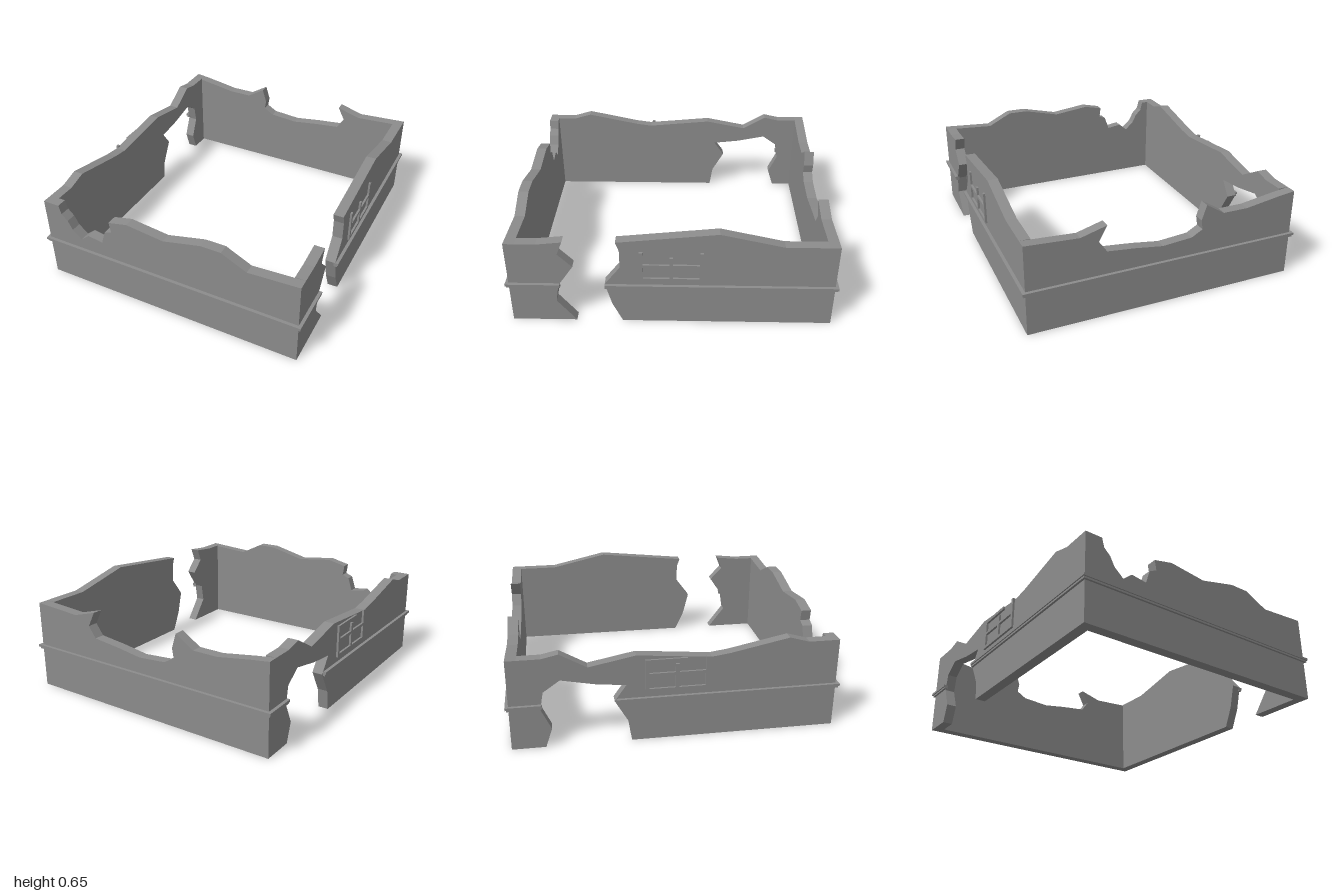
import * as THREE from 'three';

const X = 0.865, Z = 0.98, T = 0.065; // outer wall faces and wall thickness

export function createModel() {
  const model = new THREE.Group();
  model.name = 'ruinedWalls';
  const stone = new THREE.MeshStandardMaterial({ color: 0x8c8c8c });
  stone.name = 'grey stone';

  const add = (name, geometry, parent = model) => {
    const mesh = new THREE.Mesh(geometry, stone);
    mesh.name = name;
    parent.add(mesh);
    return mesh;
  };
  // box given by its lower and upper corners
  const block = (name, a, b, parent) => {
    const size = b.map((v, i) => v - a[i]);
    const g = new THREE.BoxGeometry(...size);
    g.translate(...a.map((v, i) => v + size[i] / 2));
    return add(name, g, parent);
  };
  // slab of wall cut to a broken outline
  const slab = (points) => new THREE.ExtrudeGeometry(
    new THREE.Shape(points.map(p => new THREE.Vector2(...p))), { depth: T, bevelEnabled: false });
  const crossWall = (name, points, z) => add(name, slab(points).translate(0, 0, z));
  const sideWall = (name, points, x) => add(name, slab(points).rotateY(-Math.PI / 2).translate(x, 0, 0));

  // front wall, with a bite out of its right end
  crossWall('frontWall', [
    [-X, 0], [X, 0], [X, 0.57], [0.54, 0.55], [0.38, 0.63], [0.25, 0.63], [0, 0.57], [-0.25, 0.6],
    [-0.38, 0.57], [-0.37, 0.5], [-0.42, 0.48], [-0.45, 0.39], [-0.55, 0.405], [-0.61, 0.355],
    [-0.67, 0.41], [-0.7, 0.47], [-0.74, 0.51], [-0.755, 0.57], [-X, 0.57],
  ], Z - T);

  // back wall, broken between two spikes
  crossWall('backWall', [
    [-X, 0], [X, 0], [X, 0.57], [0.54, 0.55], [0.38, 0.595], [0.43, 0.5], [0.38, 0.43], [0.2, 0.41],
    [0.03, 0.385], [-0.16, 0.4], [-0.23, 0.44], [-0.22, 0.5], [-0.25, 0.595],
    [-0.37, 0.52], [-0.53, 0.52], [-0.75, 0.555], [-X, 0.57],
  ], -Z);

  // left wall, split in two by a collapsed gap
  const e = Z - T;
  sideWall('leftWallFront', [
    [0.585, 0], [e, 0], [e, 0.57], [0.79, 0.57], [0.635, 0.587],
    [0.67, 0.5], [0.585, 0.41], [0.68, 0.27], [0.7, 0.15],
  ], X);
  sideWall('leftWallBack', [
    [-e, 0], [0.3, 0], [0.36, 0.13], [0.4, 0.285], [0.305, 0.41], [0.305, 0.53], [0.325, 0.59],
    [-0.28, 0.655], [-0.66, 0.57], [-e, 0.57],
  ], X);

  // right wall, with a ragged opening below a bridge of masonry
  sideWall('rightWall', [
    [-e, 0], [-0.78, 0], [-0.74, 0.12], [-0.8, 0.25], [-0.78, 0.36], [-0.68, 0.43], [-0.48, 0.39],
    [-0.3, 0.37], [-0.37, 0.27], [-0.29, 0.13], [-0.27, 0],
    [e, 0], [e, 0.57], [0.79, 0.57], [0.67, 0.605], [0.31, 0.53], [0.2, 0.515], [-0.24, 0.555],
    [-0.52, 0.5], [-0.68, 0.592], [-0.78, 0.57], [-e, 0.57],
  ], -X + T);

  // two-step string course around the outside
  for (const [y0, y1, out] of [[0.258, 0.27, 0.013], [0.27, 0.285, 0.02]]) {
    const x = X + out, z = Z + out;
    block('frontLedge', [-x, y0, Z - 0.01], [x, y1, z]);
    block('backLedge', [-x, y0, -z], [x, y1, -Z + 0.01]);
    for (const [z0, z1] of [[-Z, 0.4], [0.67, Z]]) block('leftLedge', [X - 0.01, y0, z0], [x, y1, z1]);
    for (const [z0, z1] of [[-Z, -0.79], [-0.36, Z]]) block('rightLedge', [-x, y0, z0], [-X + 0.01, y1, z1]);
  }

  // broken window frames: bars given as z0, y0, z1, y1
  const bars = [
    [-0.19, 0.325, -0.168, 0.525], [0.168, 0.325, 0.19, 0.525], [-0.011, 0.33, 0.011, 0.49],
    [-0.19, 0.32, 0.19, 0.34], [-0.19, 0.42, 0.19, 0.438],
  ];
  for (const side of [1, -1]) {
    const frame = new THREE.Group();
    frame.name = side > 0 ? 'leftWindowFrame' : 'rightWindowFrame';
    const xs = [side * (X - 0.005), side * (X + 0.013)].sort((a, b) => a - b);
    const list = side > 0 ? bars : [...bars, [-0.19, 0.505, 0.06, 0.525]];
    for (const [z0, y0, z1, y1] of list) block('windowBar', [xs[0], y0, z0], [xs[1], y1, z1], frame);
    model.add(frame);
  }
  return model;
}
